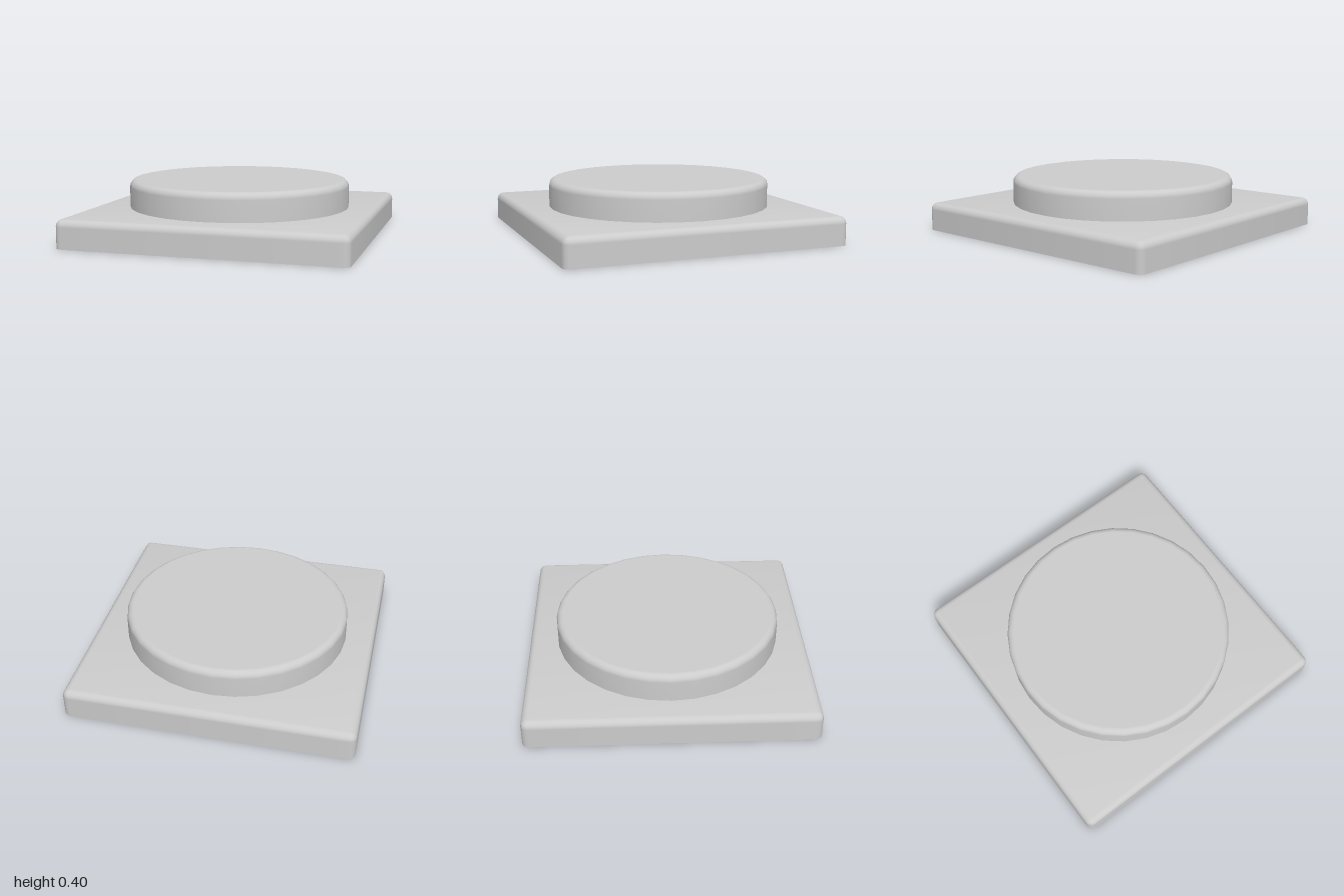
import * as THREE from 'three';

const BEVEL = 0.05;
const STEPS = 4;
const deg = THREE.MathUtils.degToRad;
const clamp = THREE.MathUtils.clamp;

// Square slab with rounded upright corners and top edges, and a sharp flat underside.
function slabGeometry(half, height) {
  const pos = [], nor = [], idx = [];
  const count = 4 * (STEPS + 1);
  const core = half - BEVEL;

  // One closed outline; phi is the height angle around the top bevel.
  const addRing = (phi, y, down) => {
    for (let q = 0; q < 4; q++) {
      const mid = deg(q * 90 + 45);
      for (let s = 0; s <= STEPS; s++) {
        const off = (s / STEPS - 0.5) * 90;
        const a = mid + deg(off);
        const r = BEVEL * Math.cos(phi);
        pos.push(Math.sign(Math.cos(mid)) * core + r * Math.cos(a), y,
          Math.sign(Math.sin(mid)) * core + r * Math.sin(a));
        // Normals lean a little at the bevel borders, so the flats blend softly.
        const top = phi > deg(89);
        const na = mid + (top ? 0 : deg(clamp(off, -39, 39)));
        const np = top ? deg(82) : phi;
        if (down) nor.push(0, -1, 0);
        else nor.push(Math.cos(np) * Math.cos(na), Math.sin(np), Math.cos(np) * Math.sin(na));
      }
    }
  };

  // Wall and bevel
  addRing(0, 0);
  for (let i = 0; i <= STEPS; i++) {
    const phi = (i / STEPS) * Math.PI / 2;
    addRing(phi, height - BEVEL + BEVEL * Math.sin(phi));
  }
  const rings = STEPS + 2;
  for (let r = 0; r < rings - 1; r++) {
    for (let j = 0; j < count; j++) {
      const a = r * count + j, b = r * count + (j + 1) % count;
      idx.push(a, a + count, b, b, a + count, b + count);
    }
  }

  // Top, spanning the four corner points where the last outline closes up
  const t = (rings - 1) * count, k = STEPS + 1;
  idx.push(t, t + 2 * k, t + k, t, t + 3 * k, t + 2 * k);

  // Underside
  const u = rings * count;
  addRing(0, 0, true);
  for (let j = 1; j < count - 1; j++) idx.push(u, u + j, u + j + 1);

  const g = new THREE.BufferGeometry();
  g.setAttribute('position', new THREE.Float32BufferAttribute(pos, 3));
  g.setAttribute('normal', new THREE.Float32BufferAttribute(nor, 3));
  g.setIndex(idx);
  return g;
}

// Round plate with a rounded top rim
function discGeometry(radius, bottom, top) {
  const profile = [new THREE.Vector2(radius, bottom)];
  for (let i = 0; i <= STEPS; i++) {
    const phi = (i / STEPS) * Math.PI / 2;
    profile.push(new THREE.Vector2(
      radius - BEVEL + BEVEL * Math.cos(phi), top - BEVEL + BEVEL * Math.sin(phi)));
  }
  profile.push(new THREE.Vector2(0, top));
  return new THREE.LatheGeometry(profile, 32);
}

export function createModel() {
  const group = new THREE.Group();
  group.name = 'steppedPedestal';
  const grey = new THREE.MeshStandardMaterial({ color: 0xcccccc });
  grey.name = 'light grey';

  const base = new THREE.Mesh(slabGeometry(1, 0.2), grey);
  base.name = 'squareBase';
  const disc = new THREE.Mesh(discGeometry(0.8, 0.2, 0.4), grey);
  disc.name = 'roundTop';
  group.add(base, disc);
  return group;
}
